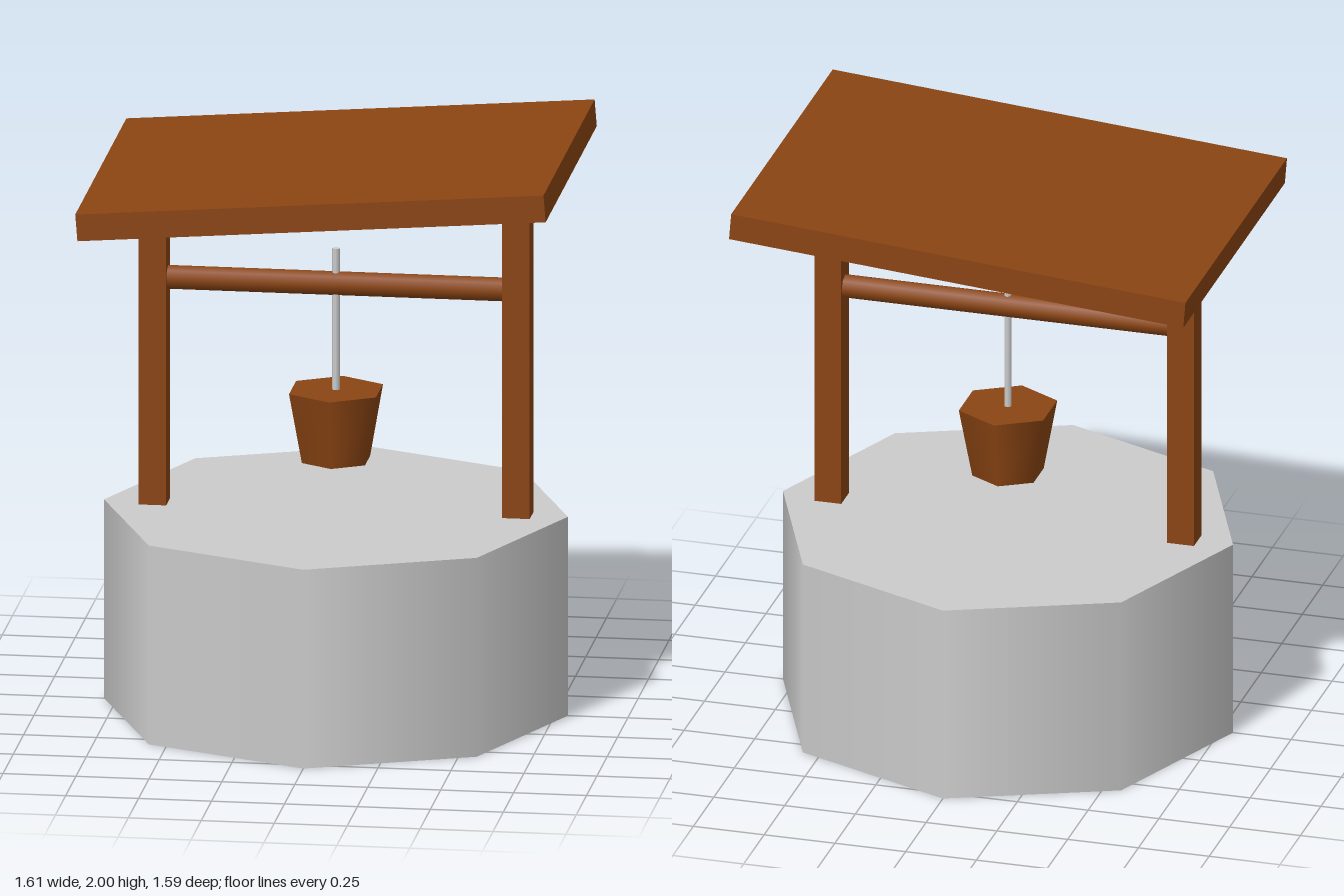
import * as THREE from 'three';

const stone = new THREE.MeshStandardMaterial({ color: 0xcccccc });
const wood = new THREE.MeshStandardMaterial({ color: 0x8b4513 });

export function createModel() {
  const well = new THREE.Group();
  well.name = 'well';

  const add = (name, geometry, material, x, y) => {
    const mesh = new THREE.Mesh(geometry, material);
    mesh.name = name;
    mesh.position.set(x, y, 0);
    well.add(mesh);
    return mesh;
  };

  // Octagonal stone base
  add('stoneBase', new THREE.CylinderGeometry(0.795, 0.795, 0.7, 8), stone, 0, 0.35);

  // Posts on either side, standing on the base
  for (const [name, side] of [['leftPost', 1], ['rightPost', -1]]) {
    add(name, new THREE.BoxGeometry(0.095, 1.14, 0.095), wood, side * 0.623, 1.27);
  }

  // Crossbar between the posts
  const crossbar = add('crossbar', new THREE.CylinderGeometry(0.042, 0.042, 1.246, 8), wood, 0, 1.492);
  crossbar.rotation.z = Math.PI / 2;

  // Rope through the crossbar, down to the bucket
  add('rope', new THREE.CylinderGeometry(0.013, 0.013, 0.5, 8), stone, 0, 1.365);

  // Six-sided tapered bucket with a closed top
  add('bucket', new THREE.CylinderGeometry(0.172, 0.125, 0.247, 6), wood, 0, 0.995);

  // Flat roof, rising towards the left side
  const roof = add('roof', new THREE.BoxGeometry(1.61, 0.094, 1.24), wood, 0, 1.889);
  roof.rotation.z = 0.08;

  return well;
}
